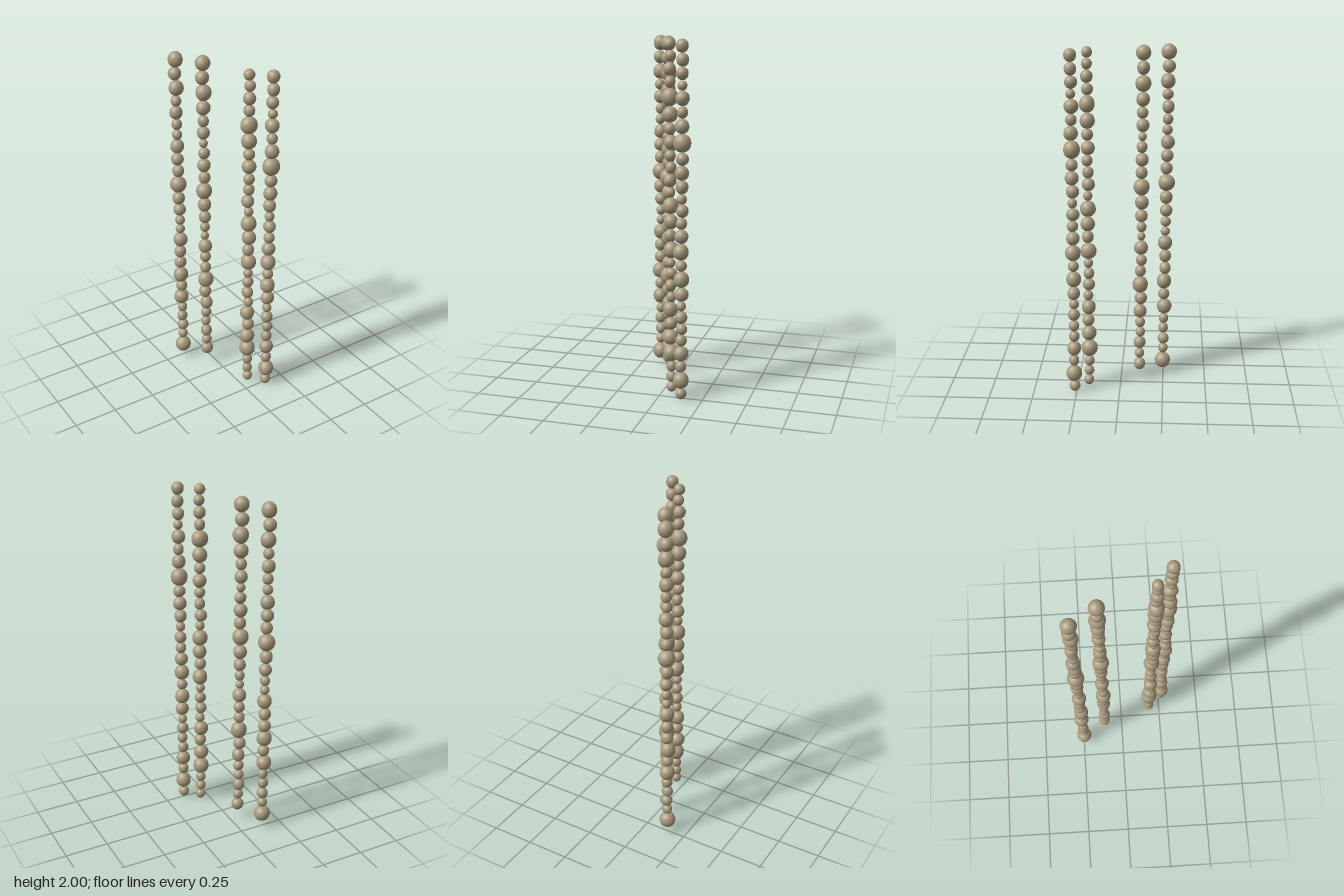
import * as THREE from 'three';
import { mergeVertices } from 'three/addons/utils/BufferGeometryUtils.js';

// Each strand: centres of its top and bottom beads, and bead radii from top to bottom (hundredths of a unit)
const strands = [
  { name: 'backRightStrand', top: [-14, 194.7, -26.2], bottom: [-13.7, 8.5, -24.7],
    radii: [4.2, 3.6, 4.2, 3, 3.7, 3, 2.9, 3.9, 3.6, 3.5, 4.7, 3.7, 3.6,
      2.9, 2.7, 4.2, 3.6, 3.5, 4.4, 3.3, 4.3, 2.9, 3.1, 3.3, 2.9, 4.6] },
  { name: 'middleRightStrand', top: [-5.3, 195.2, -12.3], bottom: [-5, 10, -11],
    radii: [4.1, 3.7, 4.4, 3.9, 3.2, 3.6, 2.4, 3.2, 3.7, 3.4, 4.6, 3.9, 3.5,
      2.9, 2.4, 4, 3.2, 3.2, 4.6, 3.6, 3.8, 3, 2.9, 3.5, 2.9, 3.5] },
  { name: 'middleLeftStrand', top: [4.3, 196.8, 18.2], bottom: [5.2, 3.7, 18.2],
    radii: [3, 3, 3.5, 3.2, 4.6, 4.3, 3.2, 3.9, 3.1, 3.2, 3.6, 2.7, 4.4, 4.1,
      3.4, 4.5, 2.7, 3.2, 3.4, 2.9, 4.2, 3.5, 4.3, 4.7, 3, 2.9, 2.9] },
  { name: 'frontLeftStrand', top: [13.7, 196.4, 26.2], bottom: [12.9, 3.3, 26.2],
    radii: [3.5, 3.4, 3.4, 2.6, 3.9, 3.1, 3.9, 4.8, 3.4, 3.8, 3.6, 2.7, 3.5, 3.1,
      3.8, 4.4, 3.1, 4.3, 3.8, 2.7, 3.4, 3.1, 3.2, 4.1, 3.1, 4.6, 3.1] },
];

function seeded(seed) {
  return () => (seed = (seed * 16807) % 2147483647) / 2147483647;
}

// A smooth, slightly uneven bead: a sphere with gentle, broad dents
function beadGeometry(rx, ry, random) {
  const sphere = new THREE.SphereGeometry(1, 20, 14);
  sphere.deleteAttribute('uv');
  sphere.deleteAttribute('normal');
  const geometry = mergeVertices(sphere, 1e-4);
  const [a, b, c] = [random() * 6.28, random() * 6.28, random() * 6.28];
  const position = geometry.attributes.position;
  const v = new THREE.Vector3();
  for (let i = 0; i < position.count; i++) {
    v.fromBufferAttribute(position, i);
    const lump = 1 + 0.035 * (Math.sin(2.4 * v.x + a) + Math.sin(2.4 * v.z + b) + 0.6 * Math.sin(2.2 * v.y + c));
    position.setXYZ(i, v.x * rx * lump, v.y * ry, v.z * rx * lump);
  }
  geometry.computeVertexNormals();
  return geometry;
}

export function createModel() {
  const model = new THREE.Group();
  const clay = new THREE.MeshStandardMaterial({ color: 0xa99b7f });
  clay.name = 'clay';
  const random = seeded(4711);

  for (const { name, top, bottom, radii } of strands) {
    const strand = new THREE.Group();
    strand.name = name;
    const start = new THREE.Vector3(...top).divideScalar(100);
    const end = new THREE.Vector3(...bottom).divideScalar(100);

    // Neighbouring beads touch, so each step down is the sum of two radii
    let length = 0;
    const drops = radii.map((r, i) => (length += i ? radii[i - 1] + r : 0));
    const stretch = (start.y - end.y) / length;

    radii.forEach((r, i) => {
      const bead = new THREE.Mesh(beadGeometry(r / 100, r * stretch, random), clay);
      bead.name = 'bead';
      bead.position.lerpVectors(start, end, drops[i] / length);
      bead.position.x += (random() - 0.5) * 0.005;
      bead.position.z += (random() - 0.5) * 0.005;
      strand.add(bead);
    });
    model.add(strand);
  }
  return model;
}
